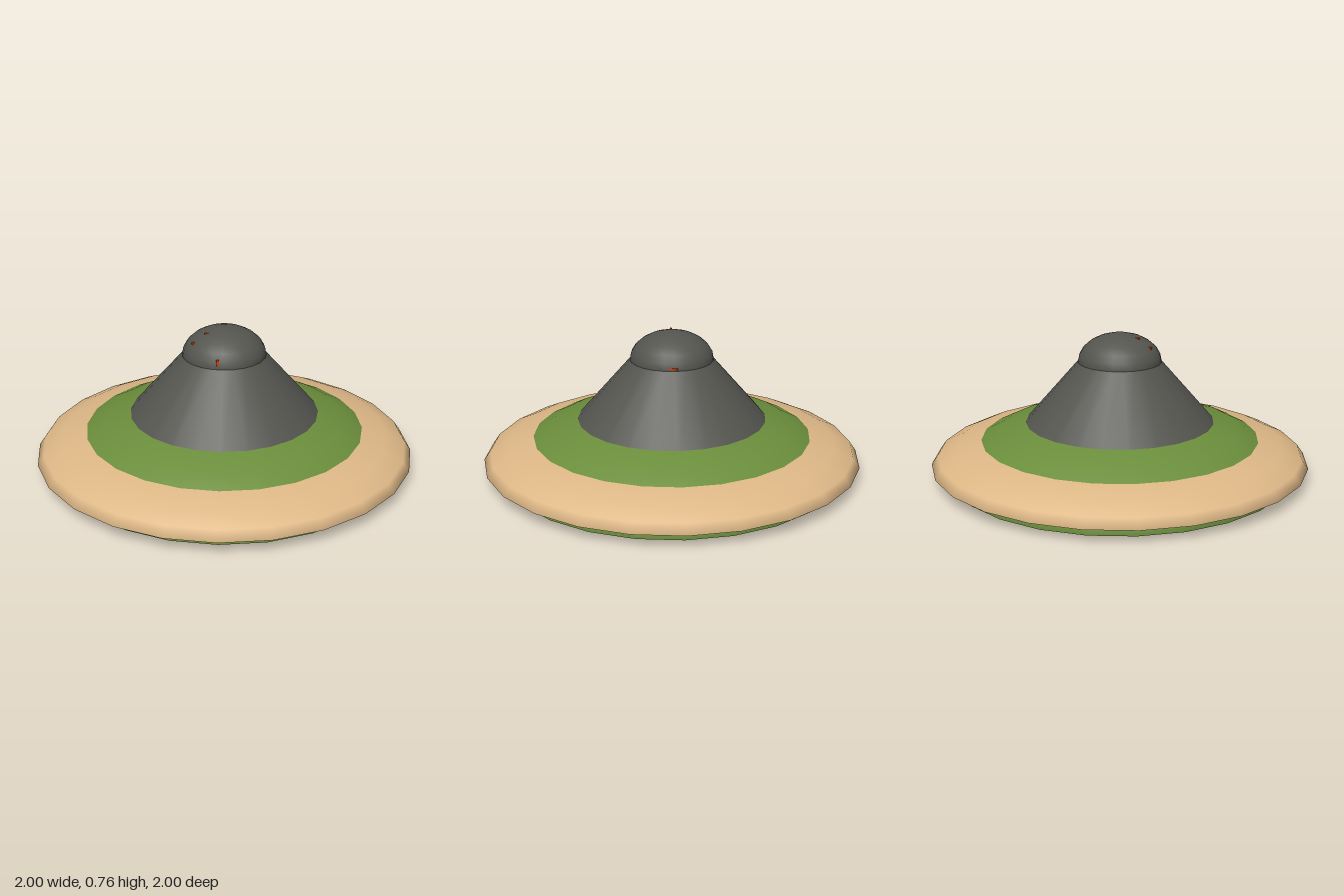
import * as THREE from 'three';

const paint = (name, color) => {
  const m = new THREE.MeshStandardMaterial({ color });
  m.name = name;
  return m;
};

export function createModel() {
  const sand = paint('sand', 0xdeb887);
  const grass = paint('grass', 0x6b8e3c);
  const rock = paint('rock', 0x555550);
  const lava = paint('lava', 0xff4500);

  const island = new THREE.Group();
  island.name = 'volcanoIsland';

  const add = (name, geometry, material, y = 0) => {
    const mesh = new THREE.Mesh(geometry, material);
    mesh.name = name;
    mesh.position.y = y;
    island.add(mesh);
    return mesh;
  };

  // Flattened upper half of a sphere, 24 sides round and 6 bands high
  const dome = (radius, height) =>
    new THREE.SphereGeometry(1, 24, 6, 0, Math.PI * 2, 0, Math.PI / 2).scale(radius, height, radius);

  // Flat disc that closes a dome from below
  const underside = (radius) => new THREE.CircleGeometry(radius, 24).rotateX(Math.PI / 2);

  // Grassy mound, showing above and below the beach
  add('grassMound', dome(0.9, 0.35), grass);
  add('grassUnderside', underside(0.9), grass);

  // Overhanging beach ring
  add('beach', dome(1, 0.19), sand, 0.07);
  add('beachUnderside', underside(1), sand, 0.07);

  // Volcano slope and rounded summit
  add('volcanoSlope', new THREE.CylinderGeometry(0.22, 0.575, 0.41, 24), rock, 0.405);
  add('volcanoSummit', dome(0.22, 0.15), rock, 0.61);

  // Molten core just under the summit, with small embers breaking through
  add('lavaCore', dome(0.2, 0.135), lava, 0.61);
  const embers = [
    [-0.08, 0.645, 0.197, 0.012, 0.03, 0.012],
    [0.212, 0.622, -0.05, 0.012, 0.008, 0.045],
    [-0.17, 0.698, 0.04, 0.02, 0.012, 0.01],
    [-0.1, 0.741, 0.025, 0.02, 0.01, 0.01],
  ];
  for (const [x, y, z, w, h, d] of embers) {
    add('ember', new THREE.BoxGeometry(w, h, d), lava).position.set(x, y, z);
  }

  return island;
}
